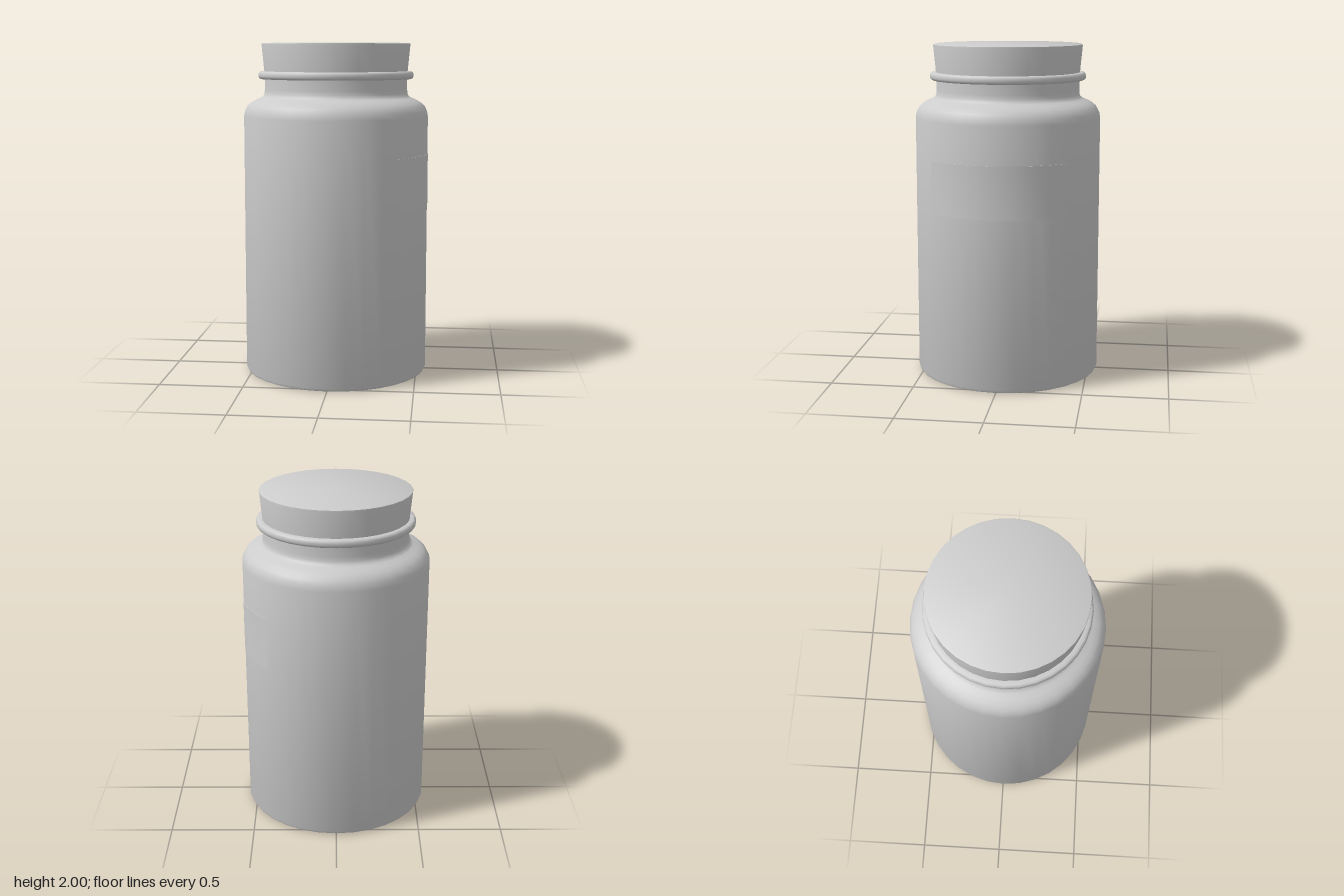
import * as THREE from 'three';
import { toCreasedNormals } from 'three/addons/utils/BufferGeometryUtils.js';

const SEGMENTS = 32;

export function createModel() {
  const jar = new THREE.Group();
  jar.name = 'jar';

  const grey = new THREE.MeshStandardMaterial({ color: 0xcccccc });
  grey.name = 'plain grey';

  // Turns a bottom-to-top [radius, height] profile around the y axis
  function turn(name, profile, segments = SEGMENTS, start = 0, sweep = Math.PI * 2) {
    const points = profile.map(([r, y]) => new THREE.Vector2(r, y));
    const geometry = new THREE.LatheGeometry(points, segments, start, sweep);
    const mesh = new THREE.Mesh(toCreasedNormals(geometry, 0.65), grey);
    mesh.name = name;
    jar.add(mesh);
  }

  // Body with rounded shoulder, fillet and straight neck
  turn('body', [
    [0, 0], [0.535, 0], [0.549, 0.006], [0.556, 0.022],
    [0.556, 1.565], [0.55, 1.597], [0.536, 1.625], [0.514, 1.646],
    [0.485, 1.663], [0.455, 1.675], [0.439, 1.685], [0.432, 1.702],
    [0.43, 1.725], [0.43, 1.81], [0, 1.81],
  ]);

  // Rounded lip around the mouth
  turn('lip', [
    [0.425, 1.787], [0.455, 1.787], [0.464, 1.793], [0.468, 1.803],
    [0.468, 1.817], [0.464, 1.827], [0.455, 1.833], [0.425, 1.833],
  ]);

  // Tapered stopper with a softened top edge
  turn('stopper', [
    [0, 1.78], [0.427, 1.78], [0.447, 1.988], [0.446, 1.996], [0.438, 2], [0, 2],
  ]);

  // Thin label wrapped around a quarter of the left side
  turn('label', [
    [0.552, 1.03], [0.5585, 1.03], [0.5585, 1.34], [0.552, 1.34],
  ], SEGMENTS / 4, Math.PI / 4, Math.PI / 2);

  return jar;
}
